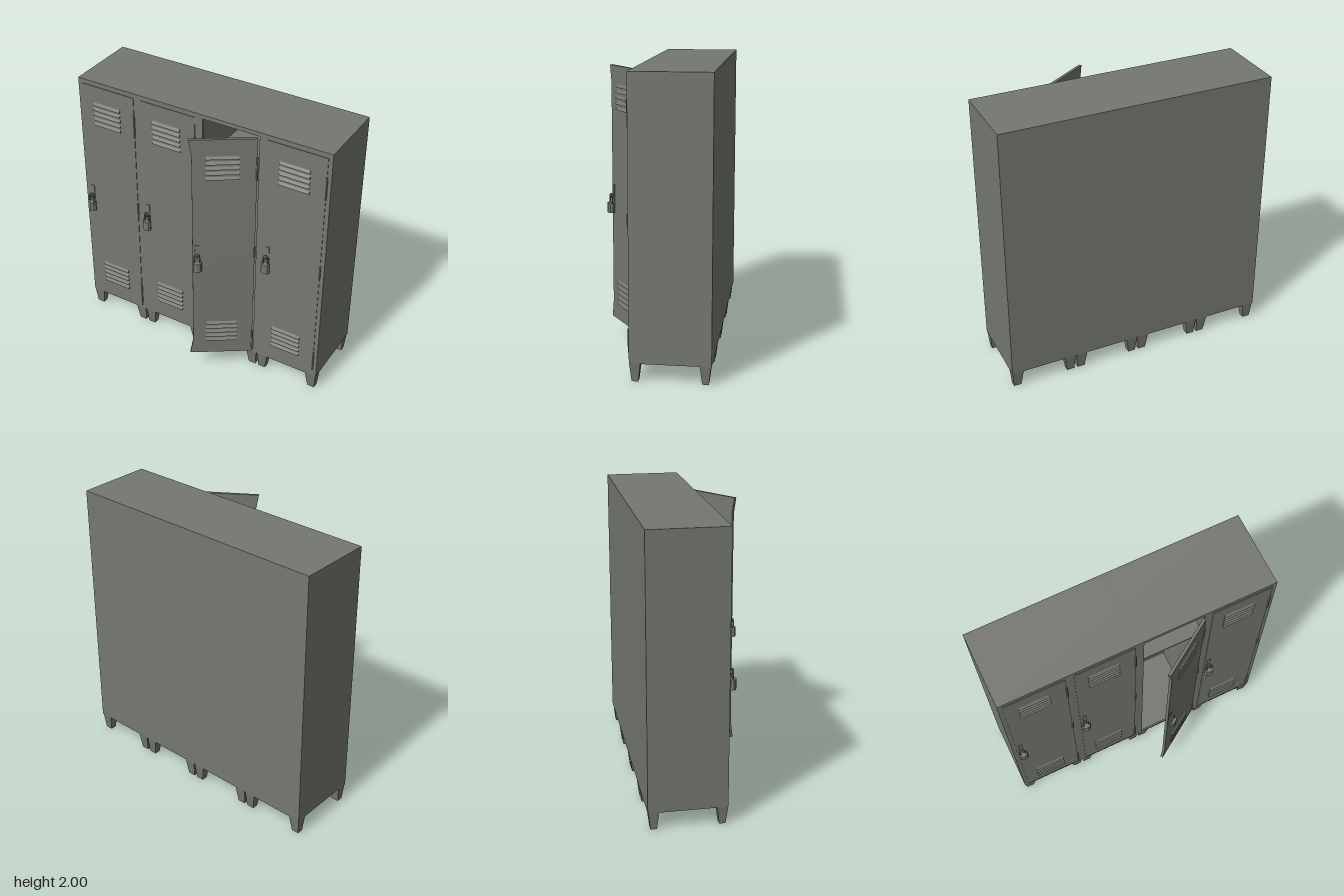
import * as THREE from 'three';

export function createModel() {
  const paint = new THREE.MeshStandardMaterial({ color: 0x757870, flatShading: true });
  paint.name = 'grey green metal';
  const model = new THREE.Group();
  model.name = 'lockerBank';

  const BAY = 0.485, HALF = 0.97, BASE = 0.125, TOP = 2, FRONT = 0.135, BACK = -0.4;
  const DOOR_W = 0.425, DOOR_LOW = 0.15, DOOR_HIGH = 1.965, SHEET = 0.012;

  function add(parent, name, geometry, x = 0, y = 0, z = 0) {
    const mesh = new THREE.Mesh(geometry, paint);
    mesh.name = name;
    mesh.position.set(x, y, z);
    parent.add(mesh);
    return mesh;
  }
  // box given by its minimum and maximum corners
  function block(parent, name, x0, x1, y0, y1, z0, z1) {
    return add(parent, name, new THREE.BoxGeometry(x1 - x0, y1 - y0, z1 - z0),
      (x0 + x1) / 2, (y0 + y1) / 2, (z0 + z1) / 2);
  }

  // cabinet shell
  const cabinet = new THREE.Group();
  cabinet.name = 'cabinet';
  model.add(cabinet);
  block(cabinet, 'backPanel', -HALF, HALF, BASE, TOP, BACK, BACK + SHEET);
  block(cabinet, 'topPanel', -HALF, HALF, TOP - SHEET, TOP, BACK, FRONT);
  block(cabinet, 'bottomPanel', -HALF, HALF, BASE, BASE + SHEET, BACK, FRONT);
  block(cabinet, 'rightWall', -HALF, -HALF + SHEET, BASE, TOP, BACK, FRONT);
  block(cabinet, 'leftWall', HALF - SHEET, HALF, BASE, TOP, BACK, FRONT);
  for (const x of [0, BAY]) {
    block(cabinet, 'divider', x - SHEET / 2, x + SHEET / 2, BASE, TOP, BACK, FRONT - SHEET);
  }
  block(cabinet, 'shelf', 0, BAY, 1.61, 1.622, BACK, FRONT - 0.03);

  // front face with the doorway of the open bay cut out
  const face = new THREE.Shape([[-HALF, BASE], [HALF, BASE], [HALF, TOP], [-HALF, TOP]]
    .map(([x, y]) => new THREE.Vector2(x, y)));
  face.holes.push(new THREE.Path([[0.03, 0.15], [0.03, 1.97], [0.455, 1.97], [0.455, 0.15]]
    .map(([x, y]) => new THREE.Vector2(x, y))));
  add(cabinet, 'frontFrame', new THREE.ExtrudeGeometry(face, { depth: SHEET, bevelEnabled: false }),
    0, 0, FRONT - SHEET);

  // louver: a slanted hood, deepest at its lower lip
  const hood = new THREE.Shape([[0, 0], [0.011, 0.003], [0.009, 0.008], [0, 0.024]]
    .map(([x, y]) => new THREE.Vector2(x, y)));
  const louverGeometry = new THREE.ExtrudeGeometry(hood, { depth: 0.22, bevelEnabled: false });
  louverGeometry.rotateY(-Math.PI / 2);
  louverGeometry.scale(-1, 1, 1);
  // the mirror reverses the corner order, so swap it back
  const p = louverGeometry.attributes.position;
  for (let i = 0; i < p.count; i += 3) {
    const a = [p.getX(i), p.getY(i), p.getZ(i)];
    p.setXYZ(i, p.getX(i + 1), p.getY(i + 1), p.getZ(i + 1));
    p.setXYZ(i + 1, ...a);
  }
  louverGeometry.computeVertexNormals();

  // padlock hanging from a hasp; the origin lies on the door face
  function padlock(parent, x) {
    const lock = new THREE.Group();
    lock.name = 'padlock';
    lock.position.x = x;
    parent.add(lock);
    block(lock, 'haspPlate', -0.014, 0.014, 1.0, 1.13, 0, 0.005);
    block(lock, 'haspStaple', -0.005, 0.005, 1.035, 1.06, 0, 0.028);
    const body = add(lock, 'lockBody', new THREE.CylinderGeometry(0.034, 0.034, 0.07, 8), 0, 0.965, 0.025);
    body.scale.z = 0.72;
    const bow = new THREE.CatmullRomCurve3([[-0.018, 0.99], [-0.018, 1.04], [-0.01, 1.062],
      [0.01, 1.062], [0.018, 1.04], [0.018, 0.99]].map(([a, b]) => new THREE.Vector3(a, b, 0.024)));
    add(lock, 'shackle', new THREE.TubeGeometry(bow, 14, 0.006, 6));
  }

  // a door's fittings; the origin is on its hinge line
  function fitDoor(door) {
    for (const low of [0.265, 1.66]) {
      for (let i = 0; i < 5; i++) {
        add(door, 'louver', louverGeometry, -DOOR_W / 2 - 0.012 - 0.11, low + i * 0.039, 0);
      }
    }
    padlock(door, -0.395);
    for (const [y, h] of [[0.27, 0.16], [1.06, 0.09], [1.74, 0.17]]) {
      add(door, 'hinge', new THREE.CylinderGeometry(0.007, 0.007, h, 8), 0, y, 0);
    }
  }

  for (let bay = 0; bay < 4; bay++) {
    const centre = (bay - 1.5) * BAY;
    const open = bay === 2;
    const door = new THREE.Group();
    door.name = open ? 'openDoor' : 'closedDoor';
    door.position.set(centre + DOOR_W / 2, 0, open ? 0.155 : 0.139);
    model.add(door);
    if (open) {
      // swung open, with the free corners pulled out a little
      door.rotation.y = 0.585;
      const height = DOOR_HIGH - DOOR_LOW;
      const geometry = new THREE.BoxGeometry(DOOR_W, height, 0.02, 4, 16, 1);
      const q = geometry.attributes.position;
      for (let i = 0; i < q.count; i++) {
        const corner = Math.max(0, Math.abs(q.getY(i)) - height / 2 + 0.12) / 0.12;
        if (q.getX(i) < -0.2) q.setX(i, q.getX(i) - 0.022 * corner);
      }
      geometry.computeVertexNormals();
      add(door, 'doorPanel', geometry, -DOOR_W / 2, (DOOR_LOW + DOOR_HIGH) / 2, -0.01);
    } else {
      block(door, 'doorPanel', -DOOR_W, 0, DOOR_LOW, DOOR_HIGH, -0.006, 0);
    }
    fitDoor(door);

    // tapered feet at the four corners of the bay
    for (const sx of [-1, 1]) {
      for (const z of [0.098, -0.36]) {
        const geometry = new THREE.BoxGeometry(0.082, BASE, 0.072);
        const v = geometry.attributes.position;
        for (let i = 0; i < v.count; i++) {
          if (v.getY(i) < 0) {
            v.setX(i, v.getX(i) * 0.66 + sx * 0.004);
            v.setZ(i, v.getZ(i) * 0.6);
          }
        }
        geometry.computeVertexNormals();
        add(model, 'foot', geometry, centre + sx * 0.198, BASE / 2, z);
      }
    }
  }
  return model;
}
